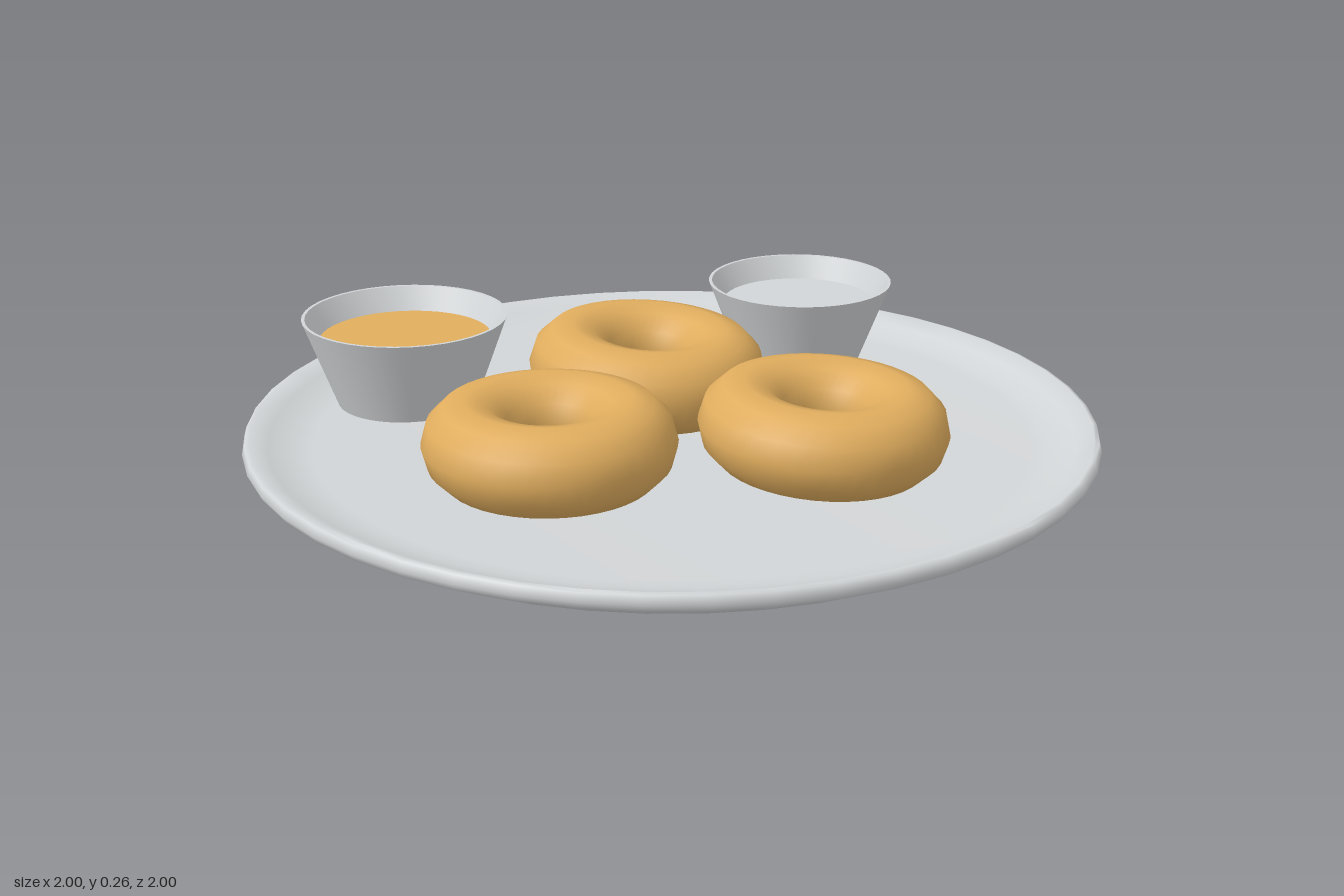
import * as THREE from 'three';
import { toCreasedNormals } from 'three/addons/utils/BufferGeometryUtils.js';

const FLOOR = 0.046;

function material(name, color) {
  const m = new THREE.MeshStandardMaterial({ color });
  m.name = name;
  return m;
}

// Solid of revolution; the profile runs from the bottom, up the outside, then inwards
function turned(profile, segments, crease) {
  const points = profile.map(([r, y]) => new THREE.Vector2(r, y));
  return toCreasedNormals(new THREE.LatheGeometry(points, segments), crease);
}

function addMesh(parent, name, geometry, mat, x = 0, y = 0, z = 0) {
  const mesh = new THREE.Mesh(geometry, mat);
  mesh.name = name;
  mesh.position.set(x, y, z);
  parent.add(mesh);
  return mesh;
}

export function createModel() {
  const group = new THREE.Group();
  group.name = 'doughnutPlatter';
  const grey = material('pale grey', 0xd2d5d7);
  const golden = material('golden dough', 0xe0ad5e);

  // Shallow dished plate with a sloping underside and a raised rim
  addMesh(group, 'plate', turned([
    [0, 0], [0.88, 0], [0.9, 0.002], [0.99, 0.05], [0.998, 0.065], [0.992, 0.085], [0.982, 0.088],
    [0.94, 0.068], [0.88, 0.049], [0.84, FLOOR], [0, FLOOR],
  ], 48, 1.2), grey);

  // Doughnuts resting on the plate, two of them tilted
  const ring = new THREE.TorusGeometry(0.185, 0.1, 12, 40).rotateX(Math.PI / 2);
  const doughnuts = [
    ['backDoughnut', 0, 0.153, -0.18, 0.04, -0.05],
    ['leftDoughnut', 0.25, 0.146, 0.321, 0.03, -0.045],
    ['rightDoughnut', -0.36, 0.146, 0.213, 0, 0],
  ];
  for (const [name, x, y, z, tiltX, tiltZ] of doughnuts) {
    addMesh(group, name, ring, golden, x, y, z).rotation.set(tiltX, 0, tiltZ);
  }

  // Flared dip cups, each with a disc of filling below the rim
  const cups = [
    ['rightCup', -0.537, -0.429, 0.249, 0.17, 0.261, golden],
    ['leftCup', 0.499, -0.431, 0.234, 0.158, 0.245, grey],
  ];
  for (const [name, x, z, rim, base, top, filling] of cups) {
    const cup = new THREE.Group();
    cup.name = name;
    cup.position.set(x, 0, z);
    const level = top - 0.056;
    const inner = rim * 0.83;
    addMesh(cup, 'cupWall', turned([
      [0, FLOOR], [base, FLOOR], [rim, top], [rim - 0.008, top],
      [inner, level - 0.004], [0, level - 0.004],
    ], 40, 0.5), grey);
    addMesh(cup, 'filling', new THREE.CircleGeometry(inner + 0.002, 40).rotateX(-Math.PI / 2),
      filling, 0, level, 0);
    group.add(cup);
  }
  return group;
}
